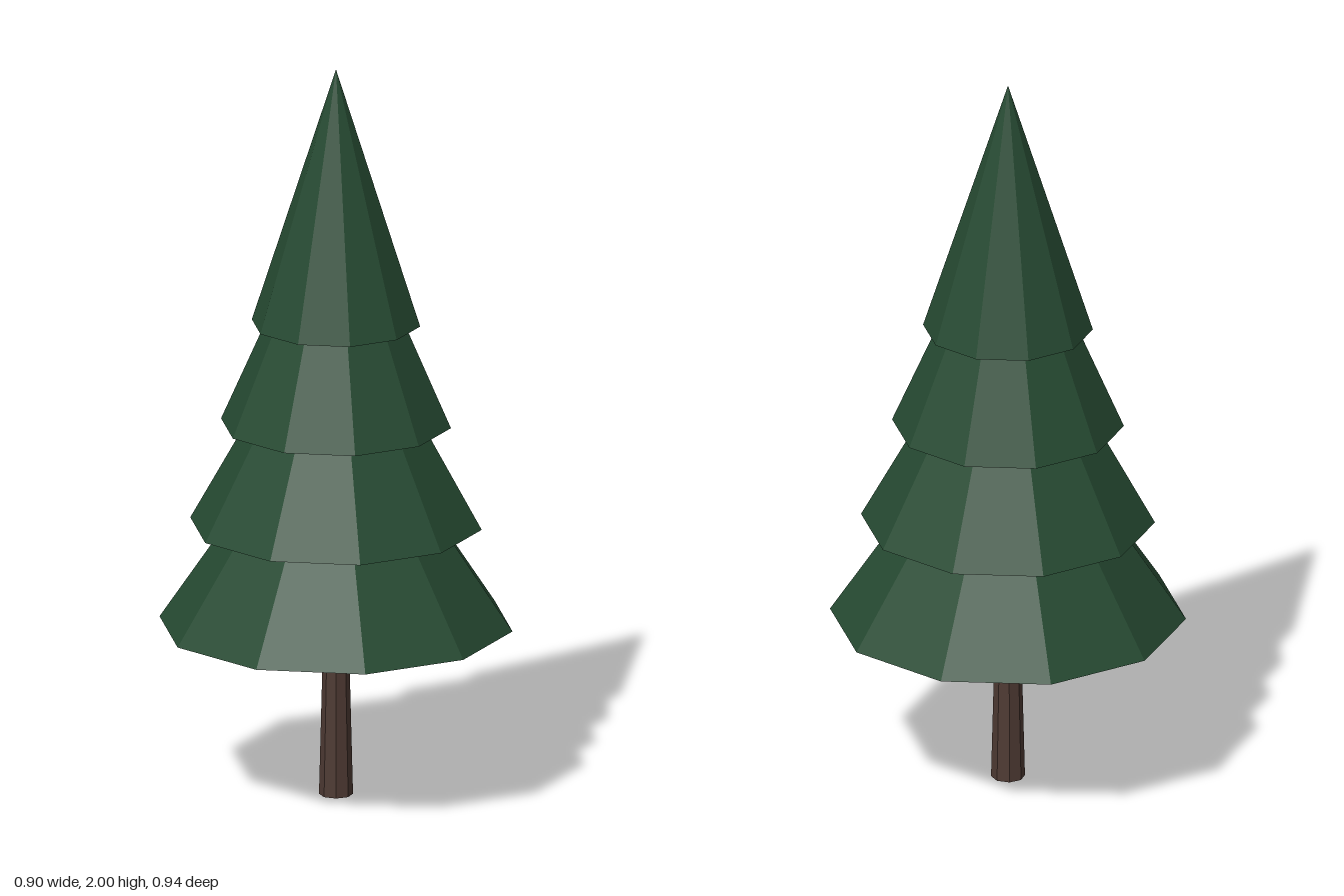
import * as THREE from 'three';

export function createModel() {
  const tree = new THREE.Group();
  tree.name = 'pineTree';

  const needleGreen = new THREE.MeshStandardMaterial({ color: 0x264a32 });
  needleGreen.name = 'needleGreen';
  needleGreen.flatShading = true;
  const barkBrown = new THREE.MeshStandardMaterial({ color: 0x4e3a33 });
  barkBrown.name = 'barkBrown';
  barkBrown.flatShading = true;

  // Tapered trunk, ending inside the lowest tier
  const trunkHeight = 0.55;
  const trunk = new THREE.Mesh(new THREE.CylinderGeometry(0.031, 0.045, trunkHeight, 8), barkBrown);
  trunk.name = 'trunk';
  trunk.position.y = trunkHeight / 2;
  tree.add(trunk);

  // Four overlapping ten-sided cones, equal in height and narrowing upwards
  const tiers = 4;
  const tierHeight = 0.7;
  for (let i = 0; i < tiers; i++) {
    const radius = 0.472 - i * 0.0823;
    const base = 0.469 + i * 0.277;
    const tier = new THREE.Mesh(new THREE.ConeGeometry(radius, tierHeight, 10), needleGreen);
    tier.name = `foliageTier${i + 1}`;
    tier.position.y = base + tierHeight / 2;
    tree.add(tier);
  }

  return tree;
}
